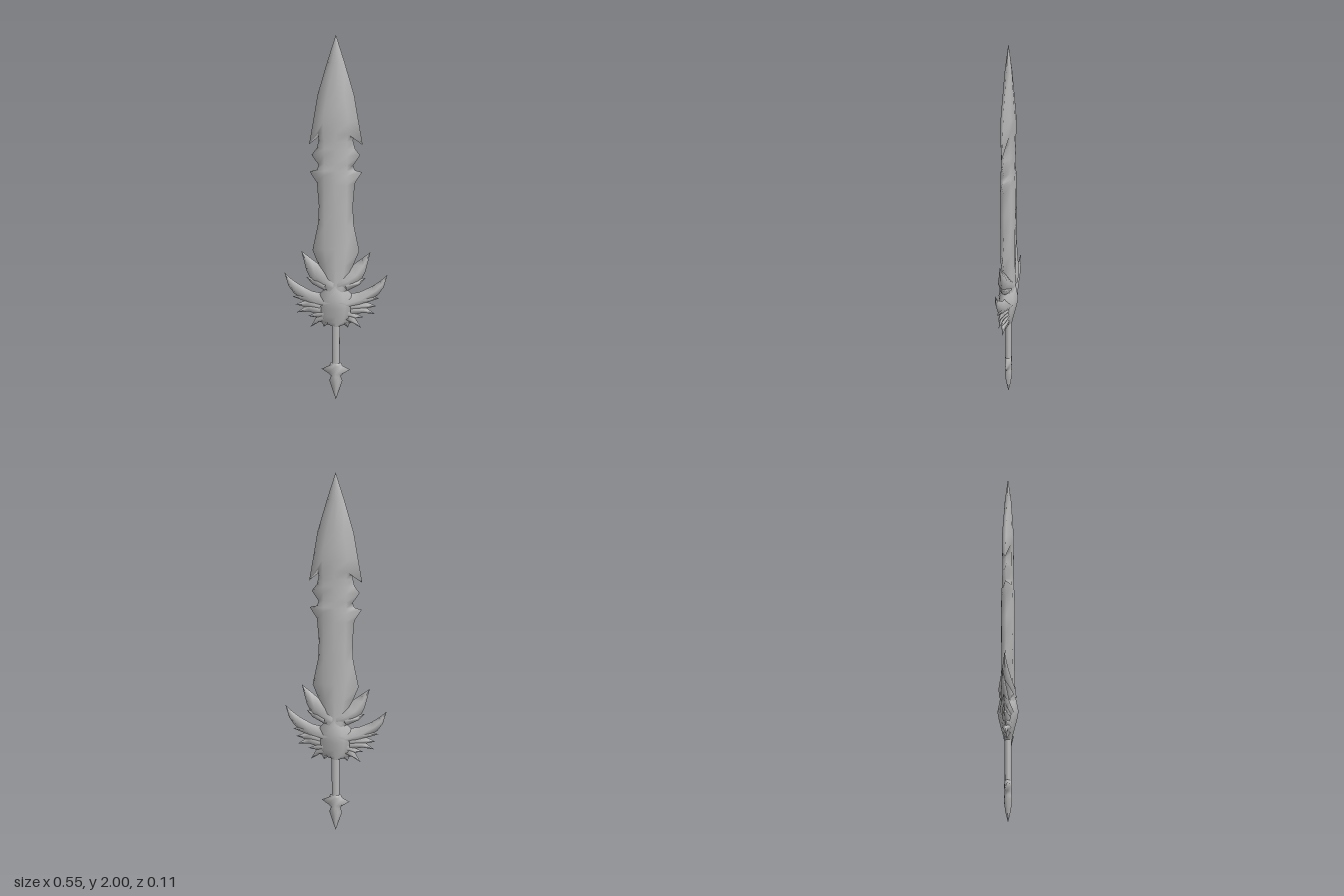
import * as THREE from 'three';

const steel = new THREE.MeshStandardMaterial({ color: 0xb8b8b8 });
steel.name = 'steel grey';

// Closed lens-shaped solid: each row is a line of [x, y, halfThickness] points
// from one cutting edge to the other; the back repeats the front.
function lens(name, rows) {
  const n = rows[0].length, ring = 2 * n - 2;
  const outline = [...rows.map(r => r[0]), ...rows.map(r => r[n - 1]).reverse()];
  const area = outline.reduce((s, p, i) => {
    const q = outline[(i + 1) % outline.length];
    return s + p[0] * q[1] - q[0] * p[1];
  }, 0);
  if (area < 0) rows = [...rows].reverse();
  const pos = [], index = [];
  for (const r of rows) {
    for (const [x, y, z] of r) pos.push(x, y, z);
    for (let j = n - 2; j > 0; j--) pos.push(r[j][0], r[j][1], -r[j][2]);
  }
  for (let i = 0; i < rows.length - 1; i++) {
    for (let j = 0; j < ring; j++) {
      const a = i * ring + j, b = i * ring + (j + 1) % ring;
      index.push(a, a + ring, b, b, a + ring, b + ring);
    }
  }
  const geo = new THREE.BufferGeometry();
  geo.setAttribute('position', new THREE.Float32BufferAttribute(pos, 3));
  geo.setIndex(index);
  geo.computeVertexNormals();
  const mesh = new THREE.Mesh(geo, steel);
  mesh.name = name;
  return mesh;
}

// Symmetric piece; rows of [edgeX, edgeY, innerX, innerY, halfThickness]
const symmetric = (name, rows, shoulder = 0.8) => lens(name, rows.map(([x, y, ix, iy, h]) => [
  [-x, y, 0], [-ix, iy, h * shoulder], [0, iy, h], [ix, iy, h * shoulder], [x, y, 0],
]));

// Feather or leaf; rows of [ax, ay, bx, by, halfThickness]
const feather = (name, rows, side) => lens(name, rows.map(([ax, ay, bx, by, h]) => [
  [side * ax, ay, 0], [side * (ax + bx) / 2, (ay + by) / 2, h], [side * bx, by, 0],
]));

export function createModel() {
  const sword = new THREE.Group();
  sword.name = 'sword';

  // Blade with barbs and notches
  sword.add(symmetric('blade', [
    [0, 2, 0, 2, 0],
    [0.045, 1.86, 0.02, 1.86, 0.018],
    [0.095, 1.69, 0.045, 1.7, 0.028],
    [0.117, 1.56, 0.06, 1.61, 0.033],
    [0.14, 1.43, 0.065, 1.55, 0.033],
    [0.093, 1.49, 0.065, 1.49, 0.031],
    [0.09, 1.45, 0.06, 1.45, 0.03],
    [0.1, 1.41, 0.06, 1.41, 0.03],
    [0.127, 1.375, 0.06, 1.375, 0.031],
    [0.09, 1.32, 0.06, 1.33, 0.032],
    [0.1, 1.295, 0.06, 1.295, 0.034],
    [0.138, 1.285, 0.06, 1.27, 0.035],
    [0.1, 1.225, 0.06, 1.22, 0.037],
    [0.09, 1.1, 0.06, 1.1, 0.038],
    [0.095, 1.0, 0.06, 1.0, 0.036],
    [0.125, 0.855, 0.06, 0.87, 0.035],
    [0.095, 0.78, 0.05, 0.78, 0.036],
    [0.06, 0.62, 0.03, 0.62, 0.042],
  ]));

  // Guard boss
  sword.add(symmetric('guardBoss', [
    [0.04, 0.69, 0.02, 0.69, 0.036],
    [0.06, 0.64, 0.03, 0.64, 0.046],
    [0.1, 0.6, 0.045, 0.59, 0.055],
    [0.11, 0.55, 0.05, 0.54, 0.046],
    [0.1, 0.48, 0.045, 0.49, 0.033],
    [0.09, 0.452, 0.035, 0.455, 0.024],
    [0.025, 0.43, 0.012, 0.43, 0.02],
  ], 0.7));

  // Leaves, wings and spikes, mirrored left and right
  const shapes = {
    Leaf: [[0, 0.74, 0.02, 0.6, 0.045], [0.05, 0.75, 0.075, 0.64, 0.043],
      [0.095, 0.78, 0.125, 0.67, 0.03], [0.14, 0.815, 0.158, 0.74, 0.014],
      [0.185, 0.85, 0.185, 0.85, 0]],
    LowerLeaf: [[0.05, 0.7, 0.06, 0.63, 0.036], [0.11, 0.7, 0.125, 0.665, 0.02],
      [0.16, 0.705, 0.16, 0.705, 0]],
    Wing: [[0, 0.64, 0, 0.52, 0.05], [0.06, 0.612, 0.06, 0.52, 0.036],
      [0.127, 0.625, 0.145, 0.55, 0.022], [0.196, 0.66, 0.228, 0.612, 0.014],
      [0.238, 0.69, 0.257, 0.655, 0.008], [0.277, 0.727, 0.277, 0.727, 0]],
    UpperFeather: [[0.09, 0.61, 0.09, 0.53, 0.026], [0.17, 0.61, 0.175, 0.57, 0.012],
      [0.235, 0.592, 0.235, 0.592, 0]],
    MiddleFeather: [[0.08, 0.58, 0.08, 0.51, 0.025], [0.155, 0.575, 0.155, 0.53, 0.012],
      [0.218, 0.548, 0.218, 0.548, 0]],
    LowerFeather: [[0.08, 0.56, 0.08, 0.49, 0.024], [0.15, 0.548, 0.145, 0.508, 0.011],
      [0.212, 0.502, 0.212, 0.502, 0]],
    SideSpike: [[0.07, 0.54, 0.06, 0.47, 0.024], [0.115, 0.5, 0.105, 0.475, 0.01],
      [0.15, 0.483, 0.15, 0.483, 0]],
    BottomSpike: [[0.09, 0.5, 0.04, 0.46, 0.024], [0.113, 0.465, 0.09, 0.45, 0.012],
      [0.138, 0.42, 0.138, 0.42, 0]],
    InnerSpike: [[0.08, 0.46, 0.03, 0.45, 0.02], [0.065, 0.422, 0.065, 0.422, 0]],
  };
  for (const [side, label] of [[1, 'left'], [-1, 'right']]) {
    for (const [part, rows] of Object.entries(shapes)) sword.add(feather(label + part, rows, side));
  }

  // Grip
  const grip = new THREE.Mesh(new THREE.CylinderGeometry(0.023, 0.021, 0.28, 10, 1, true), steel);
  grip.name = 'grip';
  grip.scale.z = 0.8;
  grip.position.y = 0.33;
  sword.add(grip);

  // Pommel with side spikes and a pointed end
  sword.add(symmetric('pommel', [
    [0, 0.22, 0, 0.22, 0.012],
    [0.03, 0.215, 0.012, 0.215, 0.018],
    [0.035, 0.2, 0.015, 0.2, 0.019],
    [0.078, 0.178, 0.02, 0.18, 0.019],
    [0.04, 0.153, 0.018, 0.155, 0.018],
    [0.026, 0.138, 0.014, 0.138, 0.019],
    [0.036, 0.112, 0.016, 0.115, 0.021],
    [0.02, 0.06, 0.009, 0.06, 0.014],
    [0, 0, 0, 0, 0],
  ]));
  return sword;
}
